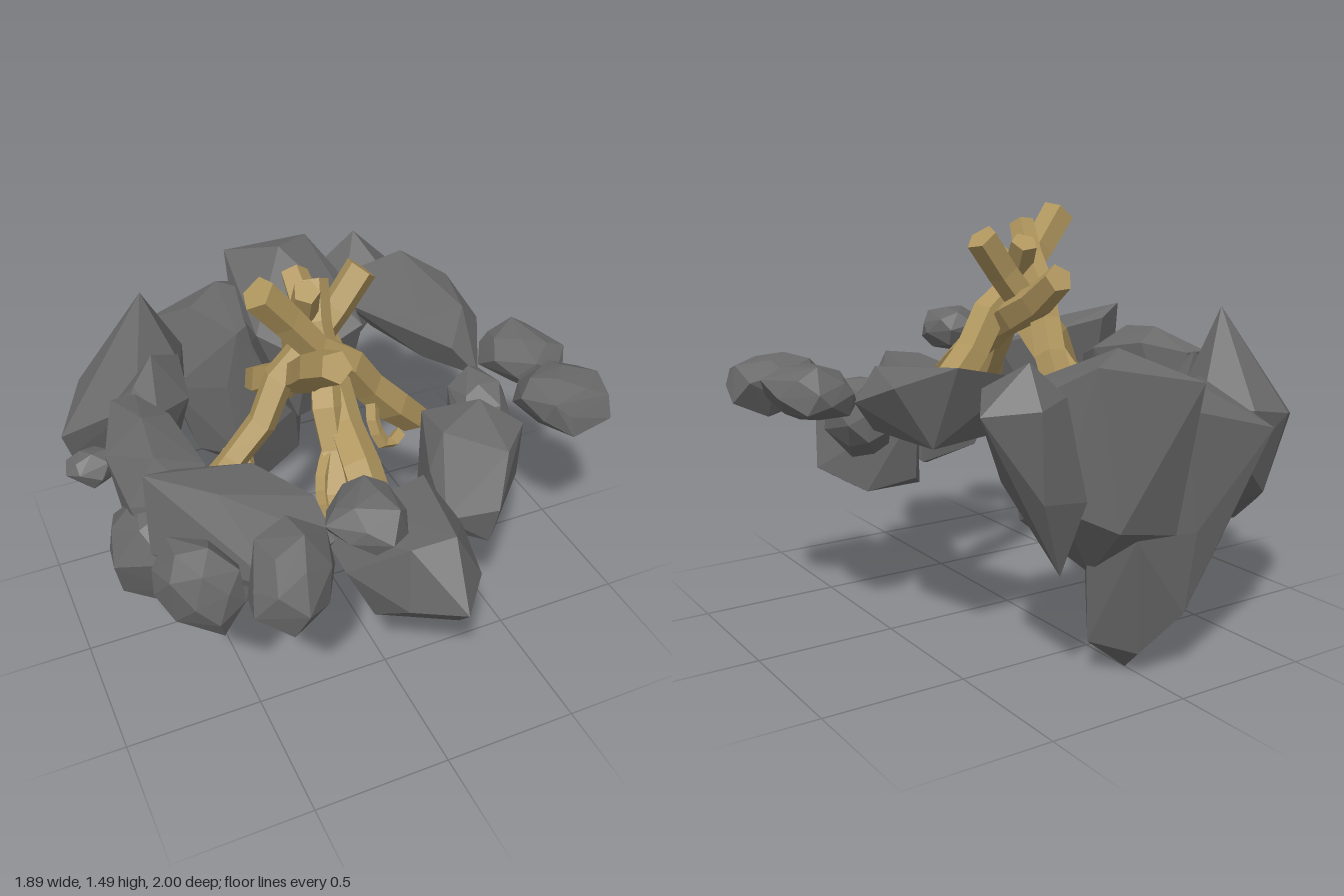
import * as THREE from 'three';
import { ConvexGeometry } from 'three/addons/geometries/ConvexGeometry.js';

const stone = new THREE.MeshStandardMaterial({ color: 0x6a6a6a, flatShading: true });
const wood = new THREE.MeshStandardMaterial({ color: 0xb0965e, flatShading: true });
const V = (x, y, z) => new THREE.Vector3(x, y, z);

// Small seeded generator
function seeded(seed) {
  let s = seed * 7919 + 17;
  return () => (s = (s * 16807) % 2147483647) / 2147483647;
}

// Faceted boulder filling the box [x0, x1, y0, y1, z0, z1]; lean skews z along x
function boulder(name, [x0, x1, y0, y1, z0, z1], seed, lean) {
  const rand = seeded(seed), count = 24;
  for (let i = 0; i < 5; i++) rand();
  const turn = rand() * 6.28, pts = [];
  for (let i = 0; i < count; i++) {
    const h = 1 - (2 * i + 1) / count, a = i * 2.39996 + turn + rand() * 0.5;
    const r = Math.sqrt(1 - h * h), k = 0.85 + rand() * 0.25;
    const x = Math.cos(a) * r * k;
    pts.push(V(x, h * k, Math.sin(a) * r * k + lean * x));
  }
  const box = new THREE.Box3().setFromPoints(pts), size = box.getSize(V(0, 0, 0));
  const span = V(x1 - x0, y1 - y0, z1 - z0);
  pts.forEach(p => p.sub(box.min).divide(size).multiply(span).add(V(x0, y0, z0)));
  return hull(name, pts);
}

function hull(name, pts) {
  const mesh = new THREE.Mesh(new ConvexGeometry(pts), stone);
  mesh.name = name;
  return mesh;
}

// Crooked, roughly square log between two points
function log(name, from, to, radius, seed) {
  const rand = seeded(seed), dir = to.clone().sub(from), rows = 6, sides = 5;
  const geo = new THREE.CylinderGeometry(radius, radius * 1.1, dir.length(), sides, rows);
  const bends = Array.from({ length: rows + 1 }, (_, i) => {
    const k = i === 0 || i === rows ? 0.01 : 0.035;
    return [(rand() - 0.5) * k, (rand() - 0.5) * k, 0.88 + rand() * 0.28];
  });
  const pos = geo.attributes.position;
  for (let i = 0; i < pos.count; i++) {
    const row = Math.round((pos.getY(i) / dir.length() + 0.5) * rows);
    const [bx, bz, k] = bends[row];
    pos.setX(i, pos.getX(i) * k + bx);
    pos.setZ(i, pos.getZ(i) * k + bz);
  }
  geo.computeVertexNormals();
  const mesh = new THREE.Mesh(geo, wood);
  mesh.position.copy(from).add(to).multiplyScalar(0.5);
  mesh.quaternion.setFromUnitVectors(V(0, 1, 0), dir.normalize());
  mesh.name = name;
  return mesh;
}

// Short curled side shoot
function twig(name, pts) {
  const mesh = new THREE.Mesh(new THREE.TubeGeometry(new THREE.CatmullRomCurve3(pts), 6, 0.026, 4), wood);
  mesh.name = name;
  return mesh;
}

export function createModel() {
  const model = new THREE.Group();
  model.name = 'campfire';
  const ring = new THREE.Group();
  ring.name = 'stoneRing';
  const pile = new THREE.Group();
  pile.name = 'logPile';
  model.add(ring, pile);

  // Rounded boulders: name, bounds, lean
  [
    ['leftOuterStone', [0.6, 0.94, 0.77, 0.98, 0.17, 0.48], 0],
    ['leftStone', [0.62, 0.91, 0.79, 0.99, -0.15, 0.2], 0],
    ['leftInnerStone', [0.43, 0.64, 0.61, 0.91, -0.01, 0.29], 0],
    ['rightPebble', [-0.95, -0.75, 0.6, 0.74, -0.32, -0.15], 0],
    ['rightLowerStone', [-0.91, -0.43, 0.39, 0.84, 0.04, 0.4], 0.2],
    ['frontRightOuterStone', [-0.85, -0.58, 0.6, 0.95, 0.47, 0.74], 0.3],
    ['frontRightStone', [-0.6, -0.28, 0.61, 0.93, 0.48, 0.88], -0.3],
    ['frontRightSmallStone', [-0.34, -0.07, 0.86, 1.04, 0.57, 0.87], 0],
  ].forEach(([name, box, lean], i) => ring.add(boulder(name, box, i + 5, lean)));

  // Pointed boulder at the front
  ring.add(hull('frontStone', [
    V(0.03, 0.69, 1.0), V(-0.22, 0.64, 0.62), V(-0.24, 0.7, 0.47), V(-0.08, 0.84, 0.8),
    V(0.07, 0.86, 0.82), V(-0.12, 0.8, 0.5), V(0.14, 0.82, 0.46), V(0.22, 0.69, 0.6),
    V(0.17, 0.67, 0.83), V(0.2, 0.55, 0.62), V(0.03, 0.43, 0.55), V(-0.14, 0.47, 0.68),
    V(0.08, 0.52, 0.86), V(-0.1, 0.62, 0.85), V(0.1, 0.46, 0.46), V(-0.15, 0.5, 0.47),
  ]));
  // Wide boulder at the front left
  ring.add(hull('frontLeftStone', [
    V(0.33, 0.78, 0.08), V(0.49, 0.88, 0.22), V(0.62, 0.8, 0.32), V(0.63, 0.55, 0.3),
    V(0.47, 0.82, 0.47), V(0.35, 0.72, 0.63), V(0.17, 0.7, 0.58), V(0.22, 0.74, 0.36),
    V(0.3, 0.84, 0.3), V(0.18, 0.61, 0.52), V(0.34, 0.56, 0.6), V(0.47, 0.45, 0.39),
    V(0.48, 0.46, 0.2), V(0.31, 0.5, 0.14), V(0.24, 0.45, 0.24), V(0.36, 0.47, 0.4),
  ]));
  // Slanted boulder at the front right, raised at its outer end
  ring.add(hull('frontRightLongStone', [
    V(-0.8, 1.05, 0.36), V(-0.68, 1.0, 0.31), V(-0.43, 0.96, 0.33), V(-0.28, 0.9, 0.5),
    V(-0.26, 0.8, 0.62), V(-0.48, 0.72, 0.68), V(-0.68, 0.65, 0.47), V(-0.81, 0.76, 0.4),
    V(-0.6, 1.0, 0.48), V(-0.4, 0.66, 0.42), V(-0.32, 0.67, 0.58), V(-0.65, 0.62, 0.35),
  ]));
  // Long boulder on the right side
  ring.add(hull('rightUpperStone', [
    V(-0.75, 0.93, -0.24), V(-0.66, 0.93, -0.24), V(-0.84, 0.88, 0), V(-0.82, 0.8, 0.2),
    V(-0.59, 0.95, -0.05), V(-0.55, 0.9, 0.2), V(-0.6, 0.85, 0.34), V(-0.7, 1.0, 0),
    V(-0.72, 0.98, 0.2), V(-0.75, 0.6, -0.1), V(-0.8, 0.55, 0.1), V(-0.6, 0.55, 0.1),
    V(-0.62, 0.65, -0.18), V(-0.6, 0.58, 0.28), V(-0.75, 0.58, 0.28),
  ]));
  // Filler boulder behind it
  ring.add(hull('backRightInnerStone', [
    V(-0.75, 0.72, -0.25), V(-0.64, 0.64, -0.17), V(-0.6, 0.86, -0.18), V(-0.44, 0.8, -0.32),
    V(-0.42, 0.88, -0.5), V(-0.55, 0.97, -0.4), V(-0.65, 0.92, -0.3), V(-0.72, 0.8, -0.38),
    V(-0.5, 0.56, -0.35), V(-0.62, 0.54, -0.4), V(-0.48, 0.5, -0.5), V(-0.62, 0.55, -0.52),
  ]));
  // Upright boulder at the back left
  ring.add(hull('backLeftStone', [
    V(0.45, 1.08, -0.8), V(0.34, 0.95, -0.63), V(0.5, 0.98, -0.62), V(0.6, 0.93, -0.77),
    V(0.46, 0.95, -0.88), V(0.33, 0.97, -0.82), V(0.28, 0.7, -0.66), V(0.47, 0.7, -0.68),
    V(0.43, 0.66, -0.85), V(0.28, 0.65, -0.86), V(0.32, 0.4, -0.78), V(0.25, 0.45, -0.72),
  ]));
  // Long boulder along the left side
  ring.add(hull('leftLongStone', [
    V(0.29, 0.92, -0.53), V(0.36, 1.0, -0.63), V(0.58, 1.05, -0.62), V(0.72, 0.98, -0.48),
    V(0.74, 0.9, -0.25), V(0.58, 0.85, 0.05), V(0.5, 0.95, -0.02), V(0.46, 0.98, -0.2),
    V(0.64, 1.0, -0.2), V(0.4, 0.8, -0.5), V(0.6, 0.78, -0.5), V(0.65, 0.79, -0.2), V(0.48, 0.81, -0.2),
  ]));
  // Broad boulder at the back
  ring.add(hull('backBroadStone', [
    V(-0.05, 1.0, -1.0), V(0.27, 1.06, -0.89), V(0.11, 1.09, -0.78), V(0.35, 0.95, -0.7),
    V(0.3, 0.9, -0.38), V(0.05, 0.82, -0.34), V(-0.1, 0.88, -0.5), V(-0.09, 0.85, -0.82),
    V(0.34, 0.62, -0.8), V(0.28, 0.5, -0.5), V(0.05, 0.48, -0.45), V(0.16, 0.36, -0.72),
    V(-0.04, 0.5, -0.9), V(0.2, 0.55, -0.92),
  ]));
  // Tall boulder reaching down to the ground at the back
  ring.add(hull('backTallStone', [
    V(0, 0, -0.71), V(0.15, 0.12, -0.7), V(0.02, 0.08, -0.8), V(-0.1, 0.22, -0.88),
    V(-0.31, 0.25, -0.7), V(-0.15, 0.22, -0.61), V(0.19, 0.45, -0.74), V(0.1, 0.4, -0.61),
    V(-0.36, 0.42, -0.78), V(-0.12, 0.5, -0.91), V(0.1, 0.5, -0.88), V(-0.41, 0.6, -0.68),
    V(-0.2, 0.6, -0.6), V(-0.43, 0.8, -0.92), V(-0.44, 0.82, -0.75), V(-0.3, 0.95, -0.7),
    V(-0.15, 0.97, -0.82), V(-0.06, 0.9, -0.91), V(0.1, 0.85, -0.78), V(-0.15, 0.85, -0.59),
  ]));
  // Peaked boulder at the back right
  ring.add(hull('backRightStone', [
    V(-0.53, 1.15, -0.55), V(-0.63, 0.8, -0.79), V(-0.46, 0.83, -0.8), V(-0.36, 0.82, -0.65),
    V(-0.42, 0.85, -0.48), V(-0.78, 0.76, -0.66), V(-0.64, 0.99, -0.53), V(-0.91, 0.66, -0.46),
    V(-0.88, 0.55, -0.48), V(-0.76, 0.4, -0.52), V(-0.64, 0.36, -0.54), V(-0.46, 0.42, -0.58),
    V(-0.4, 0.6, -0.52), V(-0.62, 0.5, -0.7), V(-0.45, 0.65, -0.77), V(-0.62, 0.75, -0.42),
  ]));

  // Logs crossing near the top, listed from foot to tip
  [
    ['rightLog', V(-0.5, 0.64, 0.05), V(0.12, 1.38, -0.02), 0.053],
    ['leftLog', V(0.32, 0.72, 0.04), V(-0.31, 1.45, 0.12), 0.055],
    ['backLog', V(-0.12, 0.71, -0.46), V(-0.16, 1.31, 0.41), 0.062],
    ['frontLog', V(-0.09, 0.81, 0.55), V(-0.02, 1.25, -0.29), 0.058],
    ['backInnerLog', V(-0.05, 0.74, -0.33), V(-0.14, 1.42, 0.11), 0.05],
    ['frontInnerLog', V(-0.16, 0.66, 0.47), V(-0.05, 1.36, -0.04), 0.052],
  ].forEach(([name, a, b, r], i) => pile.add(log(name, a, b, r, i + 11)));

  pile.add(
    twig('rightTwig', [V(-0.43, 0.72, 0.03), V(-0.38, 0.74, -0.04), V(-0.32, 0.71, -0.07), V(-0.32, 0.65, -0.03)]),
    twig('leftTwig', [V(0.13, 0.92, 0.07), V(0.11, 0.82, 0.13), V(0.15, 0.73, 0.16), V(0.22, 0.74, 0.12)]),
    twig('frontTwig', [V(-0.14, 0.9, 0.3), V(-0.19, 0.84, 0.36), V(-0.2, 0.75, 0.41), V(-0.17, 0.69, 0.44)]),
  );
  return model;
}
